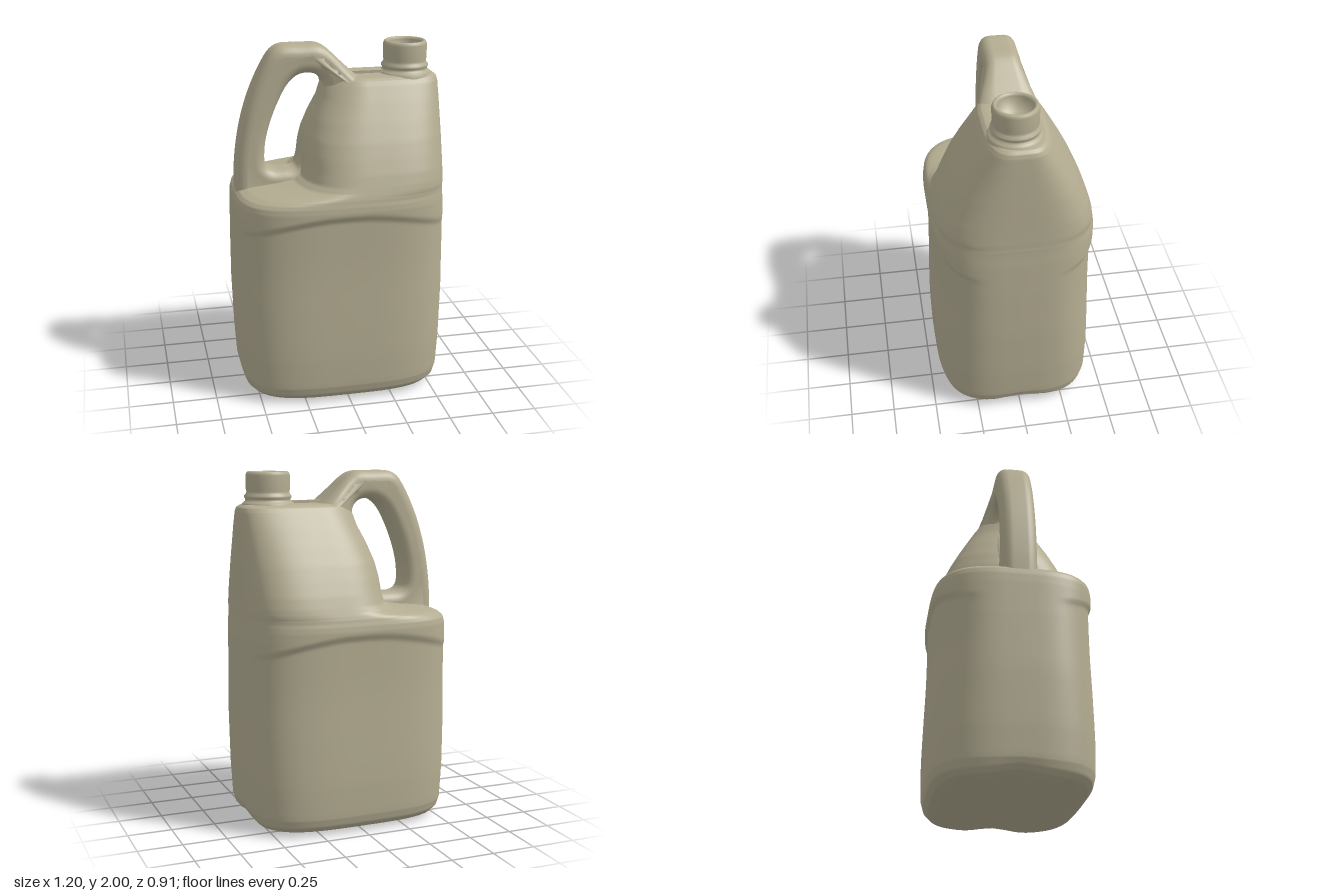
import * as THREE from 'three';
import { mergeVertices } from 'three/addons/utils/BufferGeometryUtils.js';

const plastic = new THREE.MeshStandardMaterial({ color: 0xb4ad92 });
plastic.name = 'beige plastic';

const smooth = (a, b, v) => THREE.MathUtils.smoothstep(v, a, b);

function addMesh(group, name, geometry) {
  const mesh = new THREE.Mesh(geometry, plastic);
  mesh.name = name;
  group.add(mesh);
  return mesh;
}

// Weld the vertices so that normals run smoothly over the whole part
function softened(geometry) {
  geometry.deleteAttribute('normal');
  geometry.deleteAttribute('uv');
  const welded = mergeVertices(geometry, 1e-4);
  welded.computeVertexNormals();
  return welded;
}

// Body levels: y, left x, right x, half depth, centre x, left roundness, right roundness
const lower = [
  [0.005, 0.01, 0.01], [0.008, 0.3, 0.22], [0.012, 0.49, 0.36], [0.03, 0.545, 0.41],
  [0.06, 0.57, 0.437], [0.11, 0.583, 0.45], [0.3, 0.594, 0.455], [0.6, 0.602, 0.457],
  [0.9, 0.6, 0.457], [1.0, 0.598, 0.457], [1.05, 0.597, 0.457], [1.1, 0.596, 0.457], [1.15, 0.593, 0.457],
].map(([y, x, z]) => [y, -x, x, z, 0, 3.5, 3.5]);

const upper = [
  [1.18, -0.585, 0.592, 0.453, 0, 3.5, 3.5],
  [1.2, -0.565, 0.592, 0.448, 0, 3.4, 3.5],
  [1.215, -0.525, 0.591, 0.445, 0.02, 3.2, 3.5],
  [1.225, -0.46, 0.591, 0.442, 0.04, 3, 3.5],
  [1.235, -0.36, 0.591, 0.439, 0.07, 2.9, 3.5],
  [1.25, -0.26, 0.591, 0.434, 0.1, 2.9, 3.5],
  [1.28, -0.217, 0.59, 0.424, 0.13, 3, 3.5],
  [1.34, -0.205, 0.589, 0.403, 0.15, 3, 3.5],
  [1.42, -0.2, 0.588, 0.37, 0.15, 2.9, 3.5],
  [1.5, -0.185, 0.587, 0.335, 0.15, 2.8, 3.5],
  [1.6, -0.15, 0.585, 0.285, 0.15, 2.6, 3.5],
  [1.7, -0.105, 0.583, 0.232, 0.15, 2.3, 3.5],
  [1.78, -0.085, 0.58, 0.187, 0.15, 2, 3.5],
  [1.805, -0.07, 0.573, 0.17, 0.15, 2, 3.5],
  [1.818, -0.04, 0.555, 0.152, 0.15, 2, 3.5],
  [1.822, 0.0, 0.53, 0.13, 0.15, 2, 3.5],
  [1.823, 0.24, 0.26, 0.01, 0.25, 2, 3.5],
];

function bodyGeometry() {
  const rows = [...lower, ...upper], rings = [], sides = 112, sub = 5;
  for (let i = 0; i < rows.length - 1; i++) {
    for (let k = 0; k < sub; k++) {
      rings.push(rows[i].map((v, c) => THREE.MathUtils.lerp(v, rows[i + 1][c], k / sub)));
    }
  }
  rings.push(rows[rows.length - 1]);

  const pos = [], index = [];
  for (const [y, xl, xr, depth, cx, nl, nr] of rings) {
    for (let j = 0; j < sides; j++) {
      const t = (j / sides) * Math.PI * 2, c = Math.cos(t), s = Math.sin(t);
      const n = c > 0 ? nr : nl;
      const x = cx + (c > 0 ? xr - cx : xl - cx) * Math.abs(c) ** (2 / n);
      let z = Math.sign(s) * depth * Math.abs(s) ** (2 / n);
      // Recessed front and back panels ending at an arched seam
      const seam = 1.115 - 0.08 * (x / 0.5) ** 2;
      const recess = smooth(0.2, 0.9, y) * (1 - smooth(seam - 0.025, seam + 0.025, y));
      z -= Math.sign(z) * 0.018 * recess * smooth(0.15, 0.32, Math.abs(z));
      // Shallow notches in the underside at both ends
      const notch = 0.03 * Math.exp(-((z / 0.12) ** 2)) * smooth(0.3, 0.55, Math.abs(x)) * (1 - smooth(0.03, 0.15, y));
      pos.push(x, y + notch, z);
    }
  }
  for (let i = 0; i < rings.length - 1; i++) {
    for (let j = 0; j < sides; j++) {
      const a = i * sides + j, b = i * sides + (j + 1) % sides;
      index.push(a, a + sides, b, b, a + sides, b + sides);
    }
  }
  // Close both ends
  const last = (rings.length - 1) * sides;
  for (let j = 1; j < sides - 1; j++) index.push(0, j, j + 1, last, last + j + 1, last + j);
  const g = new THREE.BufferGeometry();
  g.setAttribute('position', new THREE.Float32BufferAttribute(pos, 3));
  g.setIndex(index);
  g.computeVertexNormals();
  return g;
}

const curvePoints = (pts, closed, count) =>
  new THREE.CatmullRomCurve3(pts.map(([x, y]) => new THREE.Vector3(x, y, 0)), closed, 'centripetal')
    .getPoints(count).map(p => new THREE.Vector2(p.x, p.y));

function handleGeometry() {
  const outer = curvePoints([
    [-0.58, 1.14], [-0.578, 1.28], [-0.565, 1.42], [-0.535, 1.58], [-0.485, 1.74], [-0.415, 1.89],
    [-0.36, 1.97], [-0.31, 1.998], [-0.2, 2.0], [-0.1, 1.997], [-0.05, 1.97], [0.03, 1.895], [0.09, 1.84], [0.14, 1.8],
  ], false, 70);
  const shape = new THREE.Shape([...outer, new THREE.Vector2(0.14, 1.14)]);
  const hole = curvePoints([
    [-0.41, 1.42], [-0.405, 1.335], [-0.37, 1.305], [-0.3, 1.3], [-0.235, 1.308], [-0.208, 1.36],
    [-0.19, 1.5], [-0.145, 1.62], [-0.09, 1.72], [-0.082, 1.79], [-0.12, 1.835], [-0.2, 1.842],
    [-0.265, 1.8], [-0.335, 1.68], [-0.39, 1.53],
  ], true, 80);
  hole.pop();
  shape.holes.push(new THREE.Path(hole));
  const bevel = 0.06;
  const g = new THREE.ExtrudeGeometry(shape, {
    depth: 0.2 - 2 * bevel, bevelEnabled: true, bevelSize: bevel, bevelThickness: bevel,
    bevelOffset: -bevel, bevelSegments: 6, curveSegments: 1,
  });
  g.translate(0, 0, bevel - 0.1);
  // Widen the handle where it runs down into the body
  const p = g.attributes.position;
  for (let i = 0; i < p.count; i++) {
    p.setZ(i, p.getZ(i) * (1 + 0.65 * smooth(-0.1, 0.1, p.getX(i))));
  }
  return softened(g);
}

function spoutGeometry() {
  const profile = [
    [0.15, 1.80], [0.148, 1.822], [0.138, 1.832], [0.126, 1.84], [0.126, 1.85], [0.132, 1.858], [0.132, 1.868],
    [0.122, 1.878], [0.119, 1.89], [0.122, 1.9], [0.123, 1.98], [0.118, 1.994], [0.11, 2.0],
    [0.1, 1.997], [0.093, 1.985], [0.091, 1.9], [0, 1.9],
  ].map(([r, y]) => new THREE.Vector2(r, y));
  return new THREE.LatheGeometry(profile, 48);
}

export function createModel() {
  const model = new THREE.Group();
  model.name = 'jug';
  addMesh(model, 'body', bodyGeometry());
  addMesh(model, 'handle', handleGeometry());
  addMesh(model, 'spout', spoutGeometry()).position.set(0.4, 0, 0.012);
  // Small moulding rib between handle and spout
  addMesh(model, 'topRib', new THREE.BoxGeometry(0.22, 0.04, 0.03)).position.set(0.18, 1.818, 0.015);
  return model;
}
